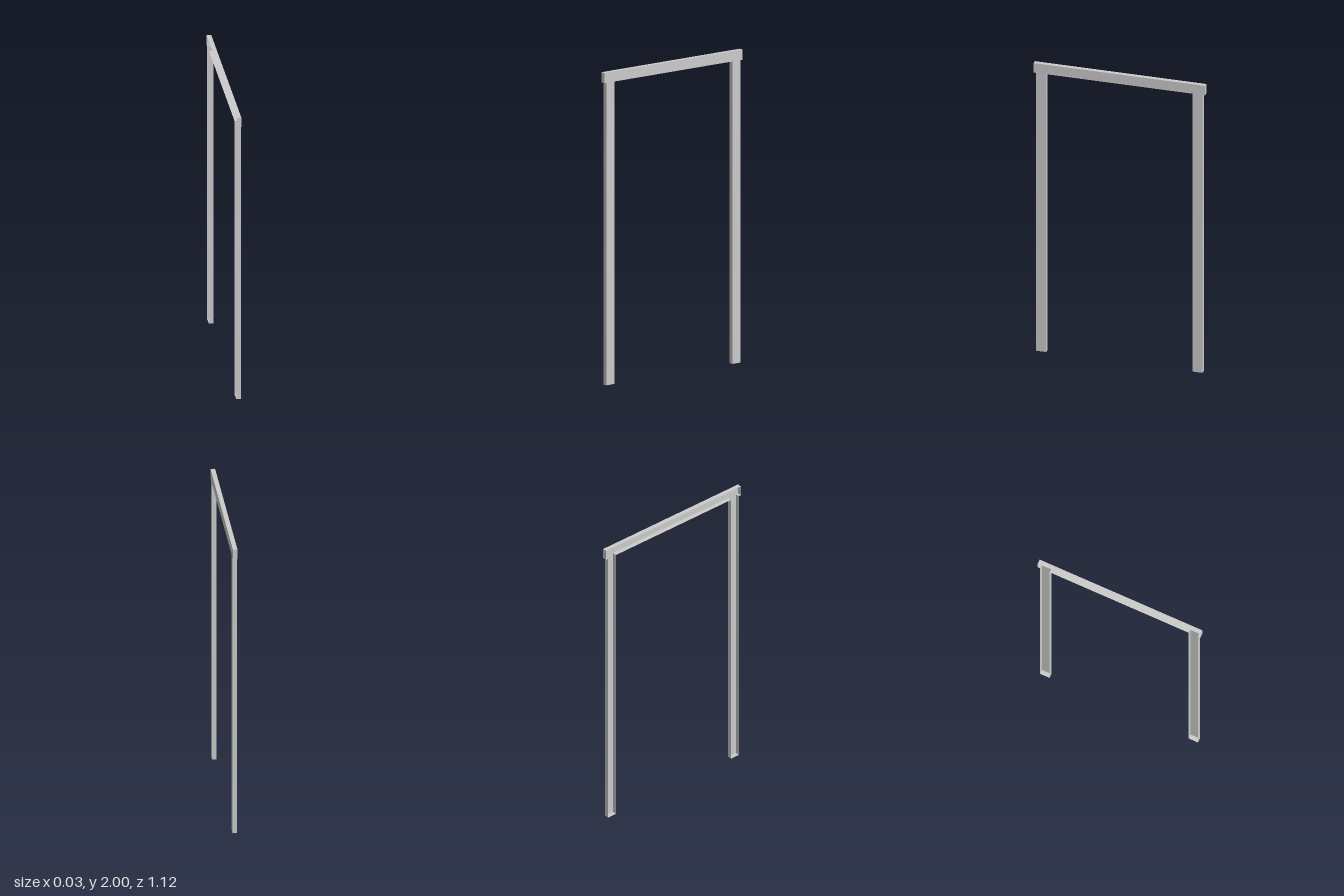
import * as THREE from 'three';

const HALF_DEPTH = 0.0145;
const BEAM_BOTTOM = 1.934, TOP = 2;
const BEAM_END = 0.561, POST_OUT = 0.544, POST_IN = 0.479;

export function createModel() {
  const group = new THREE.Group();
  group.name = 'doorFrame';
  const material = new THREE.MeshStandardMaterial({
    color: 0xcccccc, flatShading: true, side: THREE.DoubleSide,
  });
  const add = (name, geometry) => {
    // Drawn in the (width, height) plane, then turned so the closed face looks to +x
    const mesh = new THREE.Mesh(geometry.rotateY(Math.PI / 2), material);
    mesh.name = name;
    group.add(mesh);
  };

  // Half outline of post and lintel, mirrored into a counter-clockwise loop
  const half = [
    [POST_IN, BEAM_BOTTOM], [POST_IN, 0], [POST_OUT, 0],
    [POST_OUT, BEAM_BOTTOM], [BEAM_END, BEAM_BOTTOM], [BEAM_END, TOP],
  ];
  const mirrored = half.map(([u, y]) => [-u, y]).reverse();
  const outline = [...half, ...mirrored].map(([u, y]) => new THREE.Vector2(u, y));

  // Flat face of the casing
  add('casingFace', new THREE.ShapeGeometry(new THREE.Shape(outline)).translate(0, 0, HALF_DEPTH));

  // Thin return walls around the outline; the other side stays open
  const positions = [];
  outline.forEach((a, i) => {
    const b = outline[(i + 1) % outline.length];
    const [p, q, r, s] = [
      [a.x, a.y, -HALF_DEPTH], [b.x, b.y, -HALF_DEPTH],
      [b.x, b.y, HALF_DEPTH], [a.x, a.y, HALF_DEPTH],
    ];
    positions.push(...p, ...q, ...r, ...p, ...r, ...s);
  });
  const walls = new THREE.BufferGeometry();
  walls.setAttribute('position', new THREE.Float32BufferAttribute(positions, 3));
  walls.computeVertexNormals();
  add('casingReturns', walls);

  return group;
}
